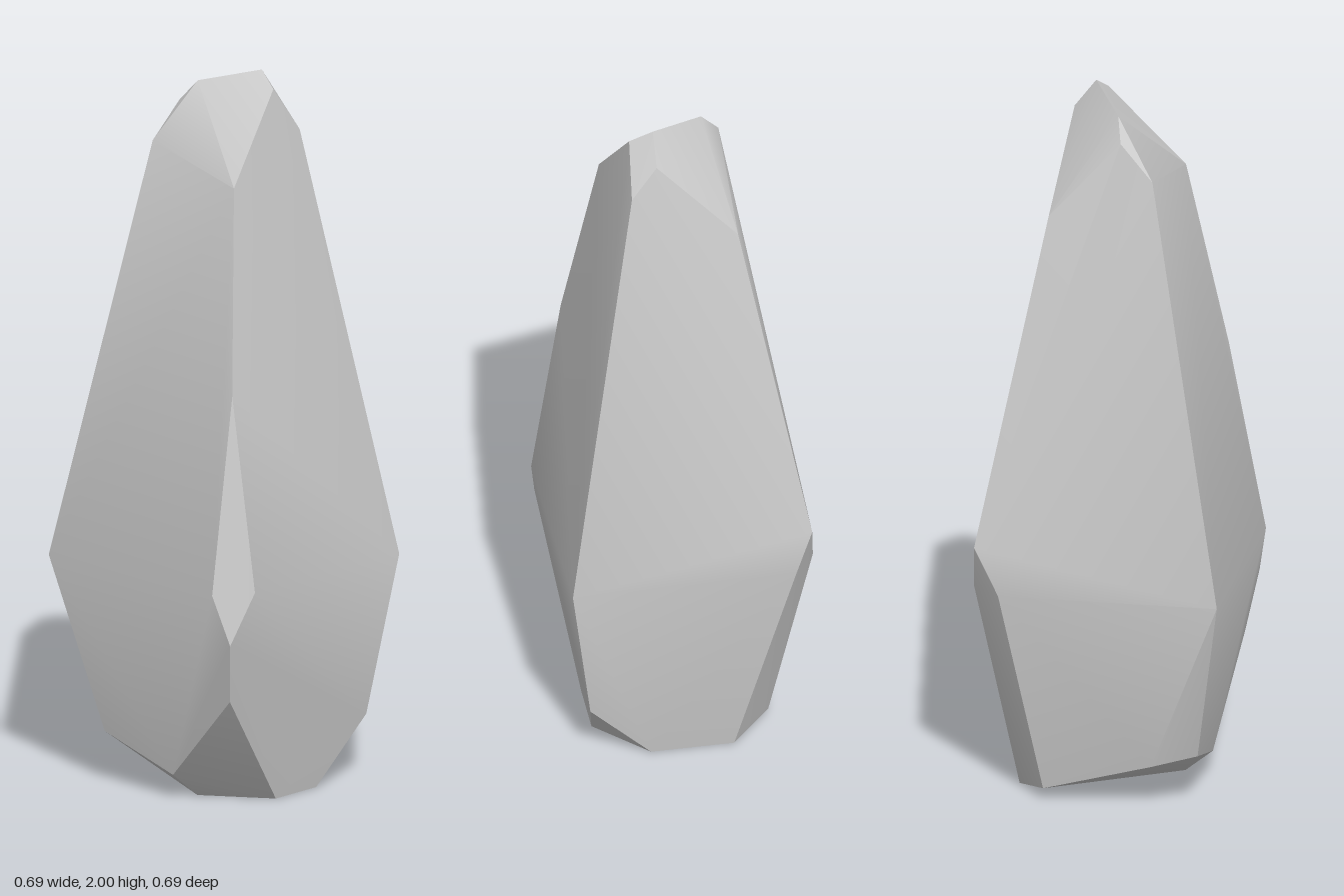
import * as THREE from 'three';
import { ConvexGeometry } from 'three/addons/geometries/ConvexGeometry.js';
import { toCreasedNormals } from 'three/addons/utils/BufferGeometryUtils.js';

// Corners of the cut stone, ring by ring
const tip = [
  [0.08, 2, 0.065], [0.14, 1.92, 0.065], [0.06, 1.96, 0.127],
  [-0.015, 1.96, -0.085], [-0.033, 1.9, -0.136],
];
const shoulder = [
  [0.155, 1.83, 0.136], [0.163, 1.68, -0.156],
  [-0.125, 1.8, -0.15], [-0.146, 1.73, 0.174],
];
const belt = [
  [0.342, 0.63, 0.332], [-0.345, 0.64, -0.331],
  // chamfered corner at the front
  [-0.246, 1.18, 0.262], [-0.345, 0.64, 0.28], [-0.243, 0.64, 0.344], [-0.318, 0.5, 0.322],
  // chamfered corner at the back
  [0.332, 0.76, -0.331], [0.342, 0.63, -0.285], [0.262, 0.63, -0.345],
];
const foot = [
  [0.275, 0.18, 0.272], [0.25, 0, 0.1], [0.11, 0, 0.24], [-0.05, 0, 0.24],
  [-0.285, 0.33, 0.29], [-0.25, 0.07, 0.044], [-0.17, 0, 0.06],
  [-0.262, 0.15, -0.2], [-0.145, 0.13, -0.255], [0.16, 0.035, -0.24], [0.25, 0, -0.13],
];

export function createModel() {
  const group = new THREE.Group();
  group.name = 'standingStone';

  const corners = [...tip, ...shoulder, ...belt, ...foot].map((p) => new THREE.Vector3(...p));
  // Soft bend at the belt, sharp edges between the sides
  const geometry = toCreasedNormals(new ConvexGeometry(corners), 0.52);
  const stone = new THREE.Mesh(geometry, new THREE.MeshStandardMaterial({ color: 0xcccccc }));
  stone.name = 'stone';
  group.add(stone);
  return group;
}
